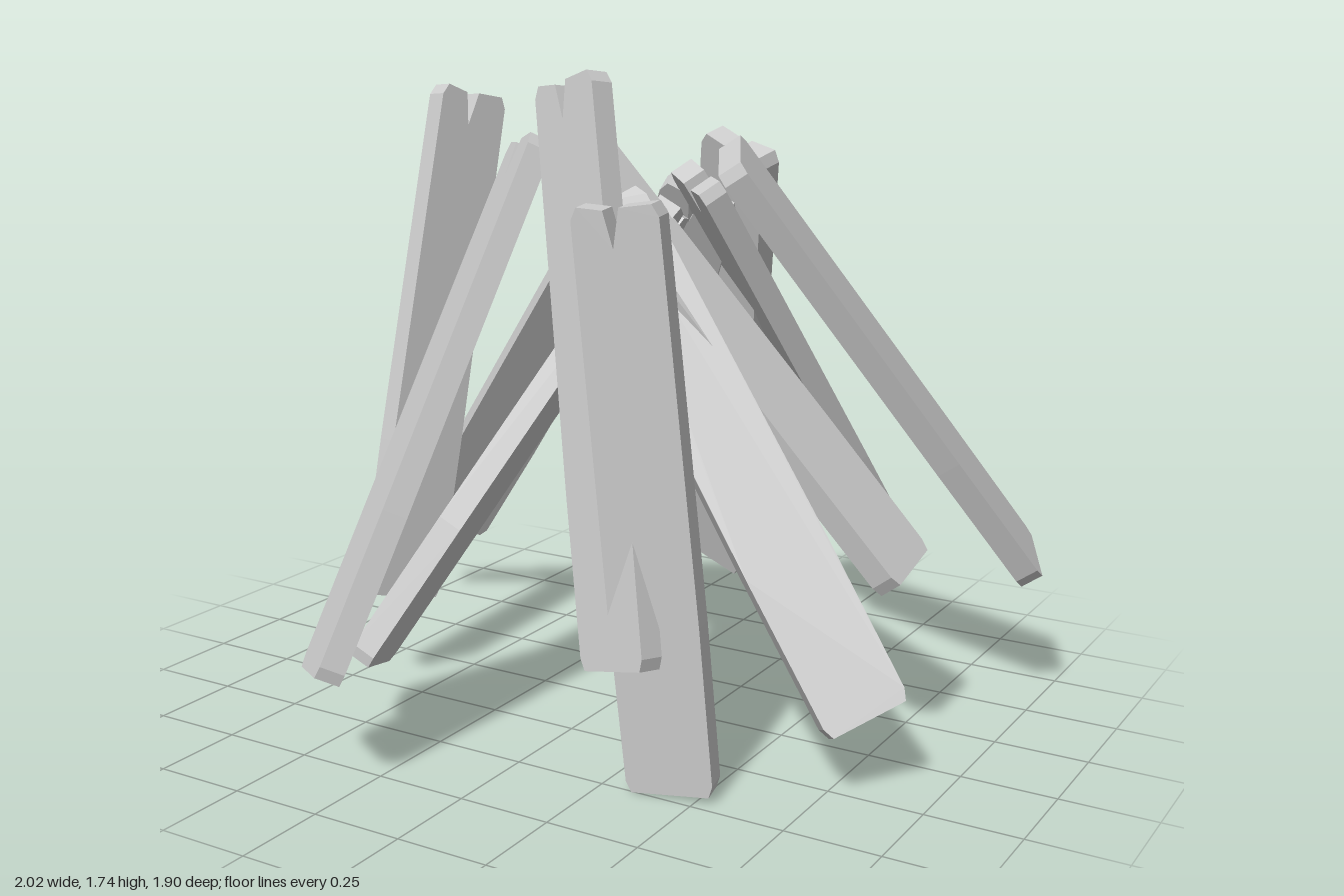
import * as THREE from 'three';

// Each plank: centre of the bottom end, centre of the top end, direction across its width
const PLANKS = [
  { name: 'frontPlank', bottom: [0.43, 0.01, 0.455], top: [0.325, 1.455, 0.545], across: [0.22, 0.02, -0.04] },
  { name: 'frontCrossedPlank', bottom: [0.325, 0.325, 0.53], top: [0.02, 1.715, 0.26], across: [0.21, 0.05, 0.06] },
  { name: 'frontLeaningPlank', bottom: [-0.34, 0.285, 0.86], top: [-0.14, 1.55, 0.2], across: [0.17, 0.05, 0.14] },
  { name: 'frontLowPlank', bottom: [-0.48, 0.19, 0.5], top: [0.11, 1.37, -0.1], across: [0.08, 0.06, 0.2] },
  { name: 'uprightPlank', bottom: [-0.6, 0.26, 0.21], top: [-0.595, 1.65, -0.16], across: [0.07, -0.05, -0.2] },
  { name: 'sideLowPlank', bottom: [-0.92, 0.26, -0.47], top: [-0.05, 1.37, -0.16], across: [-0.15, 0.09, 0.15] },
  { name: 'backSlantedPlank', bottom: [-0.5, 0.235, -0.73], top: [0.14, 1.41, -0.2], across: [0.19, -0.065, -0.065] },
  { name: 'backPlank', bottom: [-0.07, 0.22, -0.7], top: [0.25, 1.54, -0.2], across: [0.2, -0.06, 0.04] },
  { name: 'backFarPlank', bottom: [0.44, 0.29, -0.88], top: [0.18, 1.455, -0.08], across: [-0.18, 0.06, -0.13] },
  { name: 'sideTopPlank', bottom: [0.945, 0.39, -0.61], top: [0.36, 1.53, 0.07], across: [0.11, -0.08, 0.18], whole: true },
  { name: 'sideShortPlank', bottom: [0.8, 0.48, -0.08], top: [-0.07, 1.58, 0.16], across: [-0.01, 0.04, -0.2] },
  { name: 'sidePlank', bottom: [0.84, 0.2, 0.23], top: [0.05, 1.4, 0.17], across: [0.15, 0.08, -0.15] },
];

const THICKNESS = 0.065;

// Board outline with trimmed corners and, unless whole, a split in its top end
function plankGeometry(length, whole) {
  const h = length / 2;
  const points = [
    [-0.1, -h], [0.1, -h], [0.112, -h + 0.03], [0.115, -h * 0.4], [0.108, h - 0.03], [0.092, h],
  ];
  if (!whole) points.push([0.012, h - 0.005], [-0.01, h - 0.1], [-0.028, h - 0.01]);
  points.push([-0.092, h], [-0.108, h - 0.03], [-0.115, -h * 0.4], [-0.112, -h + 0.03]);
  const shape = new THREE.Shape(points.map(([x, y]) => new THREE.Vector2(x, y)));
  return new THREE.ExtrudeGeometry(shape, { depth: THICKNESS, bevelEnabled: false })
    .translate(0, 0, -THICKNESS / 2);
}

export function createModel() {
  const model = new THREE.Group();
  model.name = 'plankPile';
  const wood = new THREE.MeshStandardMaterial({ color: 0xcccccc });
  wood.name = 'paleGrey';

  for (const { name, bottom, top, across, whole } of PLANKS) {
    const a = new THREE.Vector3(...bottom);
    const b = new THREE.Vector3(...top);
    const along = b.clone().sub(a);
    const length = along.length();
    along.normalize();
    // Square the width direction to the board's length
    const width = new THREE.Vector3(...across);
    width.addScaledVector(along, -width.dot(along)).normalize();
    const normal = width.clone().cross(along);

    const plank = new THREE.Mesh(plankGeometry(length, whole), wood);
    plank.name = name;
    plank.quaternion.setFromRotationMatrix(new THREE.Matrix4().makeBasis(width, along, normal));
    plank.position.copy(a).add(b).multiplyScalar(0.5);
    model.add(plank);
  }
  return model;
}
